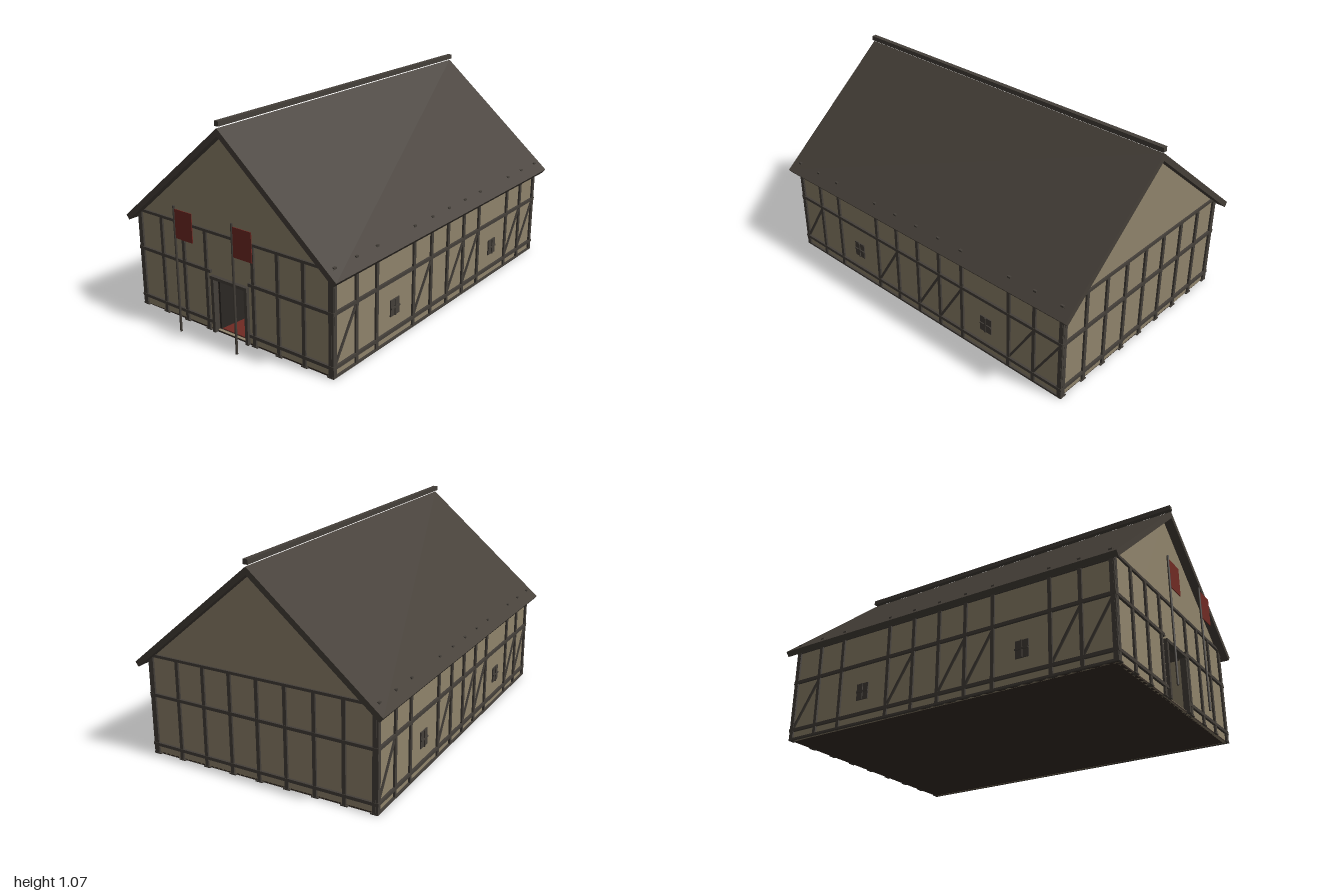
import * as THREE from 'three';

const material = (name, color) => {
  const m = new THREE.MeshStandardMaterial({ color, side: THREE.DoubleSide });
  m.name = name;
  return m;
};

export function createModel() {
  const plaster = material('plaster', 0x8f836b);
  const timber = material('timber', 0x443f39);
  const thatch = material('roofing', 0x453f38);
  const cloth = material('red cloth', 0x6f2a23);
  const earth = material('floor', 0x352c26);
  const iron = material('dark iron', 0x2b2724);

  const hall = new THREE.Group();
  hall.name = 'timberHall';
  const body = new THREE.Group();
  body.name = 'building';
  body.position.z = -0.03;
  hall.add(body);

  const HX = 0.61, HZ = 0.92, EAVE = 0.515, SLOPE = 0.837;

  function box(parent, name, mat, w, h, d, x, y, z) {
    const m = new THREE.Mesh(new THREE.BoxGeometry(w, h, d), mat);
    m.name = name;
    m.position.set(x, y, z);
    parent.add(m);
    return m;
  }
  function extrude(parent, name, mat, shape, depth, z) {
    const g = new THREE.ExtrudeGeometry(shape, { depth, bevelEnabled: false });
    const m = new THREE.Mesh(g, mat);
    m.name = name;
    m.position.z = z;
    parent.add(m);
    return m;
  }
  const polygon = (pts) => new THREE.Shape(pts.map((p) => new THREE.Vector2(...p)));

  // Floor
  box(body, 'floor', earth, 2 * HX, 0.008, 2 * HZ, 0, 0.004, 0);

  // Gable end: pentagon wall with its timber frame, built facing +z
  function gableEnd(hasDoor) {
    const end = new THREE.Group();
    end.name = hasDoor ? 'frontGable' : 'backGable';
    const wall = polygon([[-HX, 0], [HX, 0], [HX, 0.5], [0, 1.015], [-HX, 0.5]]);
    if (hasDoor) {
      const hole = new THREE.Path();
      hole.moveTo(-0.1, 0.01);
      hole.lineTo(-0.1, 0.285);
      hole.lineTo(0.1, 0.285);
      hole.lineTo(0.1, 0.01);
      wall.holes.push(hole);
    }
    extrude(end, 'gableWall', plaster, wall, 0.015, HZ - 0.015);
    for (let i = -4; i <= 4; i++) {
      if (hasDoor && i === 0) continue;
      box(end, 'gablePost', timber, 0.018, EAVE, 0.02, i * 0.15, EAVE / 2, HZ);
      box(end, 'postFoot', timber, 0.036, 0.006, 0.022, i * 0.15, 0.003, HZ);
    }
    box(end, 'topRail', timber, 1.24, 0.014, 0.02, 0, EAVE, HZ);
    for (const y of [0.052, 0.313]) {
      if (hasDoor) {
        for (const s of [-1, 1]) box(end, 'gableRail', timber, 0.5, 0.016, 0.024, s * 0.37, y, HZ);
      } else {
        box(end, 'gableRail', timber, 1.24, 0.016, 0.024, 0, y, HZ);
      }
    }
    body.add(end);
    return end;
  }
  gableEnd(true);
  gableEnd(false).rotation.y = Math.PI;

  // Long side: wall, posts, rails, braces and windows, built facing +x
  function longSide(name) {
    const side = new THREE.Group();
    side.name = name;
    box(side, 'sideWall', plaster, 0.015, EAVE, 2 * HZ, HX - 0.0075, EAVE / 2, 0);
    const posts = [0.915, 0.76, 0.607, 0.305, 0.152, 0, -0.152, -0.305, -0.607, -0.76, -0.915];
    for (const z of posts) {
      box(side, 'sidePost', timber, 0.02, 0.53, 0.018, HX, 0.265, z);
    }
    for (const y of [0.052, 0.313]) {
      box(side, 'sideRail', timber, 0.024, 0.016, 1.86, HX, y, 0);
    }
    box(side, 'sill', timber, 0.02, 0.01, 1.86, HX, 0.005, 0);
    box(side, 'wallPlate', timber, 0.02, 0.014, 1.86, HX, 0.485, 0);
    // Each brace rises towards -z across one bay
    for (const i of [0, 3, 5, 6, 8, 9]) {
      const dz = posts[i + 1] - posts[i], dy = 0.245;
      const brace = box(side, 'brace', timber, 0.016, Math.hypot(dz, dy), 0.011,
        HX, 0.18, (posts[i] + posts[i + 1]) / 2);
      brace.rotation.x = Math.atan2(dz, dy);
    }
    for (const z of [-0.46, 0.46]) {
      box(side, 'windowPane', timber, 0.008, 0.084, 0.07, HX + 0.002, 0.168, z);
      box(side, 'windowMullion', timber, 0.012, 0.084, 0.008, HX + 0.005, 0.168, z);
      box(side, 'windowBar', timber, 0.012, 0.008, 0.07, HX + 0.005, 0.168, z);
    }
    body.add(side);
    return side;
  }
  longSide('leftSide');
  longSide('rightSide').rotation.y = Math.PI;

  // Corner posts
  for (const x of [-1, 1]) {
    for (const z of [-1, 1]) {
      box(body, 'cornerPost', timber, 0.024, 0.52, 0.024, x * 0.607, 0.26, z * 0.917);
    }
  }

  // Roof: one chevron section along the length, with a raised ridge beam
  const ex = 0.663, ey = 1.04 - ex * SLOPE;
  const section = polygon([[0, 1.04], [-ex, ey], [-ex + 0.018, ey - 0.022],
    [0, 1.003], [ex - 0.018, ey - 0.022], [ex, ey]]);
  extrude(hall, 'roof', thatch, section, 1.935, -1);
  box(hall, 'ridgeBeam', timber, 0.025, 0.024, 1.935, 0, 1.061, -0.0325);

  // Doorway with an open door leaf
  const door = new THREE.Group();
  door.name = 'doorway';
  hall.add(door);
  for (const s of [-1, 1]) box(door, 'doorJamb', timber, 0.018, 0.28, 0.03, s * 0.107, 0.14, 0.892);
  box(door, 'lintel', timber, 0.235, 0.016, 0.034, 0, 0.288, 0.893);
  const leaf = box(door, 'doorLeaf', iron, 0.012, 0.265, 0.18, -0.084, 0.142, 0.785);
  leaf.rotation.y = -0.1;
  box(hall, 'carpet', cloth, 0.2, 0.004, 1.6, 0, 0.011, 0.07);

  // High seat on a stepped platform inside
  const seat = new THREE.Group();
  seat.name = 'highSeat';
  seat.position.z = -0.78;
  hall.add(seat);
  box(seat, 'lowerStep', timber, 0.4, 0.025, 0.3, 0, 0.0205, 0);
  box(seat, 'upperStep', timber, 0.3, 0.02, 0.22, 0, 0.042, -0.02);
  box(seat, 'seatBase', timber, 0.125, 0.05, 0.11, 0, 0.077, -0.03);
  box(seat, 'cushion', cloth, 0.1, 0.01, 0.1, 0, 0.107, -0.03);
  box(seat, 'seatBack', timber, 0.125, 0.23, 0.02, 0, 0.167, -0.09);
  for (const s of [-1, 1]) box(seat, 'armRest', timber, 0.014, 0.03, 0.11, s * 0.056, 0.117, -0.03);

  // Banners on poles before the entrance
  for (const x of [-0.243, 0.127]) {
    const banner = new THREE.Group();
    banner.name = 'banner';
    banner.position.set(x, 0, 0.994);
    const pole = new THREE.Mesh(new THREE.CylinderGeometry(0.006, 0.006, 0.645, 8), timber);
    pole.name = 'bannerPole';
    pole.position.y = 0.3225;
    banner.add(pole);
    box(banner, 'bannerCloth', cloth, 0.112, 0.145, 0.004, 0.06, 0.557, 0);
    hall.add(banner);
  }
  return hall;
}
